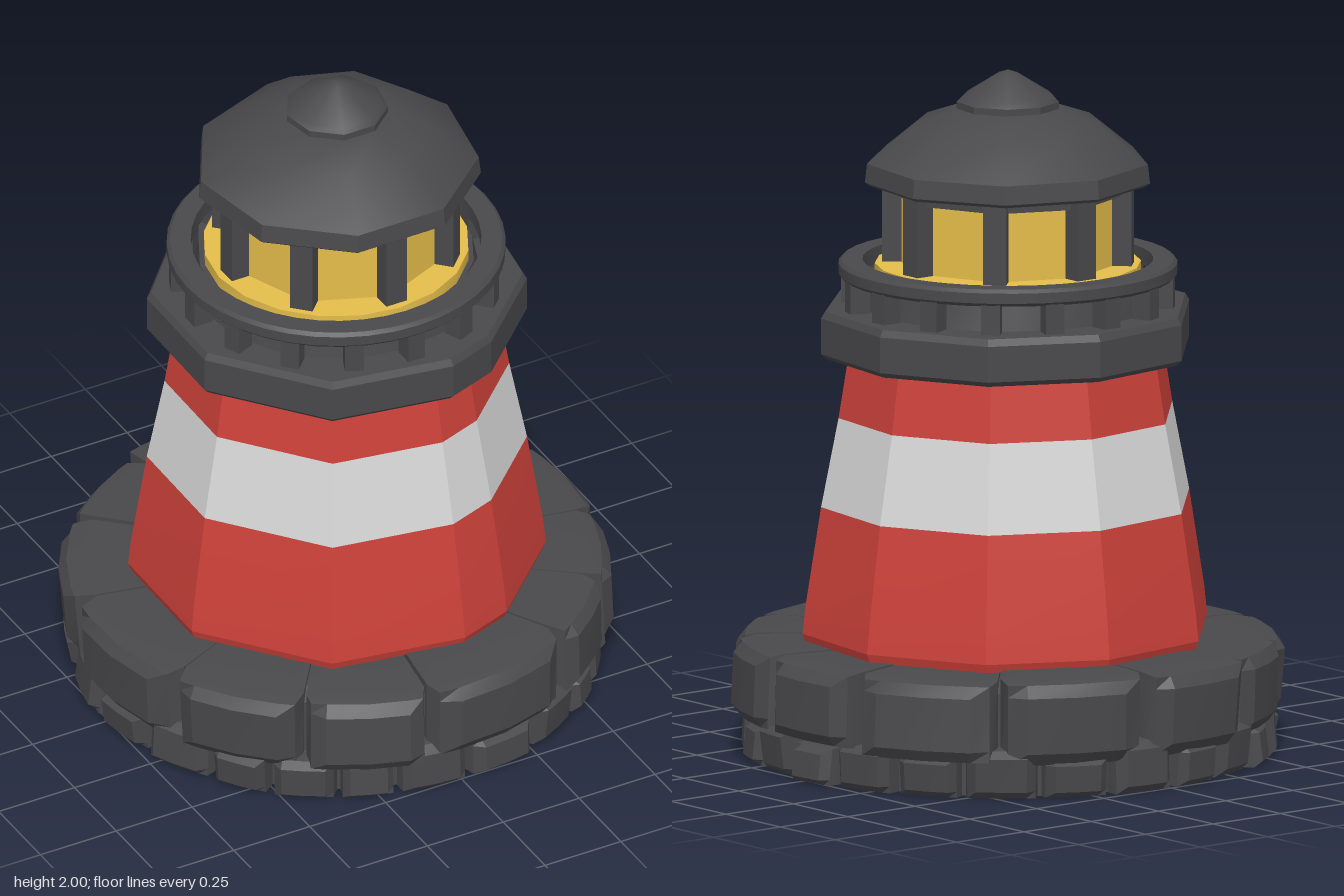
import * as THREE from 'three';
import { toCreasedNormals } from 'three/addons/utils/BufferGeometryUtils.js';

const mat = (name, color) => {
  const m = new THREE.MeshStandardMaterial({ color });
  m.name = name;
  return m;
};

// Corners of a regular unit polygon, with one corner at the given angle
const ngon = (n, start = 0) => Array.from({ length: n }, (_, i) => {
  const a = start + (i / n) * Math.PI * 2;
  return [Math.cos(a), Math.sin(a)];
});

// Stacks scaled copies of an outline: rows are [scale, y] from bottom to top
function stack(outline, rows, crease = 0.4) {
  const pos = [], n = outline.length;
  const at = (i, [s, y]) => [outline[i % n][0] * s, y, outline[i % n][1] * s];
  for (let r = 0; r < rows.length - 1; r++) {
    for (let i = 0; i < n; i++) {
      const a = at(i, rows[r]), b = at(i + 1, rows[r]);
      const c = at(i + 1, rows[r + 1]), d = at(i, rows[r + 1]);
      if (rows[r][0] > 0) pos.push(...a, ...d, ...b);
      if (rows[r + 1][0] > 0) pos.push(...b, ...d, ...c);
    }
  }
  const g = new THREE.BufferGeometry();
  g.setAttribute('position', new THREE.Float32BufferAttribute(pos, 3));
  return toCreasedNormals(g, crease);
}

// Chiselled block bent around the y axis between two angles
function stone(a0, a1, y0, y1, rIn, rOut, rand) {
  const g = new THREE.BoxGeometry(2, 2, 2, 4, 3, 2);
  const p = g.attributes.position;
  const tilt = (rand() - 0.5) * 0.03, lean = (rand() - 0.5) * 0.02;
  const half = (a1 - a0) / 2 - 0.006;
  for (let i = 0; i < p.count; i++) {
    let u = p.getX(i), v = p.getY(i);
    const w = p.getZ(i);
    const edge = Math.abs(u) > 0.99 || Math.abs(v) > 0.99;
    if (Math.abs(Math.abs(u) - 0.5) < 0.01) u = Math.sign(u) * 0.72;
    if (Math.abs(Math.abs(v) - 1 / 3) < 0.01) v = Math.sign(v) * 0.7;
    let r = rIn;
    if (w > -0.5 && w < 0.5) r = rOut - 0.07;
    if (w > 0.5) {
      r = rOut - (edge ? 0.025 : 0) + tilt * u * 0.5 + lean * v;
      u *= 0.9;
      if (v > 0 || y0 > 0.01) v *= 0.92;
    }
    const a = (a0 + a1) / 2 - u * half;
    const y = (y0 + y1) / 2 + (v * (y1 - y0)) / 2;
    p.setXYZ(i, r * Math.cos(a), y, r * Math.sin(a));
  }
  return toCreasedNormals(g, 0.45);
}

export function createModel() {
  const model = new THREE.Group();
  model.name = 'lighthouse';
  const dark = mat('dark stone', 0x49494c);
  const red = mat('red paint', 0xcd413a);
  const white = mat('white paint', 0xd7d7d7);
  const yellow = mat('lamp yellow', 0xe5bd4a);

  const add = (name, geometry, material, parent = model) => {
    const m = new THREE.Mesh(geometry, material);
    m.name = name;
    parent.add(m);
    return m;
  };
  const group = (name) => {
    const g = new THREE.Group();
    g.name = name;
    model.add(g);
    return g;
  };
  // Upright boxes evenly spaced around the axis
  const ring = (name, count, radius, w, d, y0, y1) => {
    const g = group(name + 's');
    const box = new THREE.BoxGeometry(w, y1 - y0, d);
    for (let i = 0; i < count; i++) {
      const a = (i / count) * Math.PI * 2;
      const m = add(name, box, dark, g);
      m.position.set(Math.sin(a) * radius, (y0 + y1) / 2, Math.cos(a) * radius);
      m.rotation.y = a;
    }
  };

  let seed = 7;
  const rand = () => (seed = (seed * 16807) % 2147483647) / 2147483647;
  const rad = THREE.MathUtils.degToRad;

  // Stone base: solid core and two courses of blocks
  add('baseCore', stack(ngon(36), [[0, 0], [0.71, 0], [0.71, 0.3], [0.66, 0.325], [0, 0.325]]), dark);
  const seams = [-83, -49, -16, 12, 38, 61, 98, 126, 156, 192, 223, 248, 277];
  const upper = group('upperStones'), lower = group('lowerStones');
  for (let i = 0; i < 12; i++) {
    const a0 = rad(seams[i]), a1 = rad(seams[i + 1]), mid = (a0 + a1) / 2;
    add('upperStone', stone(a0, a1, 0.09 + rand() * 0.04, 0.335 + rand() * 0.012, 0.5,
      0.785 + rand() * 0.012, rand), dark, upper);
    // A wide block under each seam and a small one under each stone
    const next = rad(seams[i + 1] + (seams[(i + 1) % 12 + 1] - seams[(i + 1) % 12]) * 0.25);
    const from = mid + (a1 - mid) * 0.45;
    const start = a0 + (a1 - a0) * 0.25;
    add('lowerStone', stone(start, from, 0, 0.1 + rand() * 0.03, 0.5, 0.765 + rand() * 0.015, rand), dark, lower);
    add('lowerStone', stone(from, next, 0, 0.13 + rand() * 0.03, 0.5, 0.765 + rand() * 0.015, rand), dark, lower);
  }

  // Tapered ten-sided tower in three painted bands
  const plan = [
    [0.595, -0.09], [0.54, 0.275], [0.27, 0.53], [0.1, 0.59], [-0.3, 0.52],
    [-0.575, 0.18], [-0.57, -0.21], [-0.275, -0.535], [0.1, -0.59], [0.43, -0.43],
  ];
  add('lowerRedBand', stack(plan, [[0, 0.34], [0.985, 0.34], [1, 0.365], [0.985, 0.45], [0.91, 0.735]]), red);
  add('whiteBand', stack(plan, [[0.91, 0.735], [0.825, 0.995]]), white);
  add('upperRedBand', stack(plan, [[0.825, 0.995], [0.77, 1.2]]), red);

  // Gallery deck with softened edges
  add('galleryDeck', stack(plan, [
    [0, 1.17], [0.885, 1.17], [0.91, 1.185], [0.91, 1.29], [0.89, 1.31], [0, 1.31],
  ]), dark);

  // Railing: posts and a round hand rail
  ring('railPost', 16, 0.452, 0.055, 0.06, 1.3, 1.41);
  const railProfile = [
    [0.42, 1.395], [0.48, 1.395], [0.49, 1.405], [0.49, 1.435],
    [0.48, 1.445], [0.42, 1.445], [0.42, 1.395],
  ].map(([x, y]) => new THREE.Vector2(x, y));
  add('handRail', toCreasedNormals(new THREE.LatheGeometry(railProfile, 40), 0.5), dark);

  // Lantern room: plinth, glowing floor, glass, posts and head band
  const oct = ngon(8, Math.PI / 2);
  add('lanternPlinth', stack(ngon(20), [[0.42, 1.3], [0.4, 1.4], [0, 1.4]]), dark);
  add('lanternFloor', stack(ngon(20), [[0, 1.395], [0.385, 1.395], [0.385, 1.435], [0, 1.435]]), yellow);
  add('lanternGlass', stack(oct, [[0.32, 1.42], [0.32, 1.68]]), yellow);
  ring('lanternPost', 8, 0.325, 0.068, 0.075, 1.42, 1.69);
  add('lanternHead', stack(oct, [[0, 1.64], [0.345, 1.64], [0.345, 1.69]]), dark);

  // Nine-sided roof and its cap, softly shaded
  const nine = ngon(9, -Math.PI / 2);
  add('roof', stack(nine, [
    [0, 1.67], [0.405, 1.67], [0.418, 1.68], [0.412, 1.735], [0.27, 1.848], [0.15, 1.89], [0, 1.89],
  ], 0.6), dark);
  add('roofCap', stack(nine, [[0.15, 1.86], [0.15, 1.91], [0.135, 1.925], [0.03, 1.99], [0, 2]], 0.6), dark);

  return model;
}
